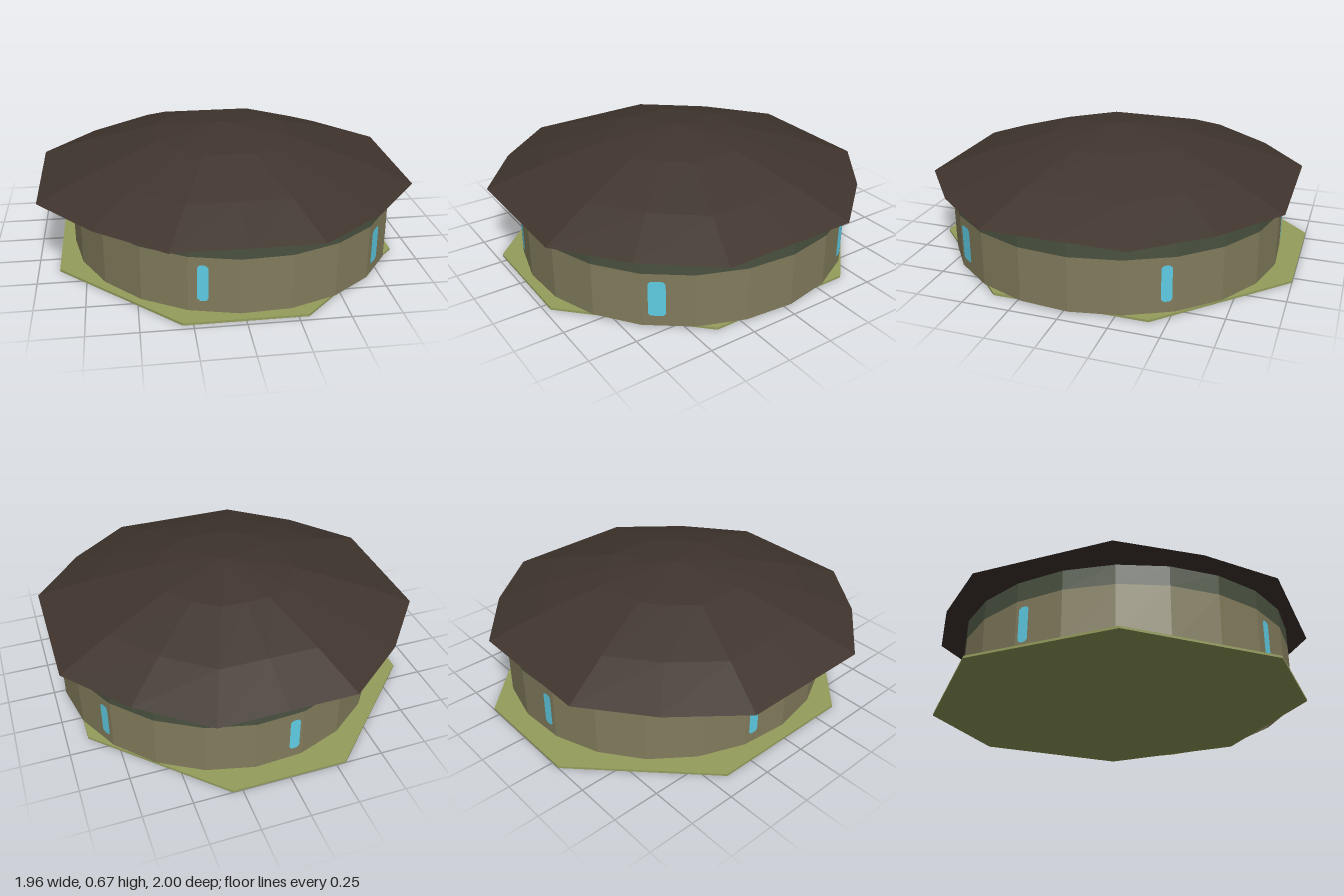
import * as THREE from 'three';

const SIDES = 22;
const STEP = (Math.PI * 2) / SIDES;
const START = -0.0925; // angle of the first wall corner
const RX = 0.88, RZ = 0.91, CX = 0.06, CZ = 0.015;

function material(name, color, side = THREE.FrontSide) {
  const m = new THREE.MeshStandardMaterial({ color, side });
  m.name = name;
  return m;
}

// Faceted normals for low-poly parts
function faceted(geometry) {
  const g = geometry.index ? geometry.toNonIndexed() : geometry;
  g.computeVertexNormals();
  return g;
}

export function createModel() {
  const group = new THREE.Group();
  const roofMat = material('darkBrownRoof', 0x40352e, THREE.DoubleSide);
  const wallMat = material('tanWall', 0x827c5c, THREE.DoubleSide);
  const bandMat = material('greyGreenBand', 0x4a5240, THREE.DoubleSide);
  const baseMat = material('oliveBase', 0x959d5c);
  const windowMat = material('skyBlueWindow', 0x5fcde4, THREE.DoubleSide);

  function add(name, geometry, mat, x = 0, y = 0, z = 0) {
    const mesh = new THREE.Mesh(geometry, mat);
    mesh.name = name;
    mesh.position.set(x, y, z);
    group.add(mesh);
    return mesh;
  }

  // Eight-sided ground plate
  const corners = [[0.3, 0.985], [-0.3, 0.985], [-0.89, 0.4], [-0.89, -0.4],
    [-0.3, -0.985], [0.3, -0.985], [0.89, -0.4], [0.89, 0.4]];
  const plate = new THREE.Shape(corners.map(([x, z]) => new THREE.Vector2(x, -z)));
  const plateGeo = new THREE.ExtrudeGeometry(plate, { depth: 0.012, bevelEnabled: false });
  plateGeo.rotateX(-Math.PI / 2);
  add('groundPlate', plateGeo, baseMat, 0, 0, -0.015);

  // Round wall in two stacked bands
  function wallRing(name, y0, y1, mat) {
    const g = new THREE.CylinderGeometry(1, 1, y1 - y0, SIDES, 1, true, START);
    g.scale(RX, 1, RZ);
    add(name, faceted(g), mat, CX, (y0 + y1) / 2, CZ);
  }
  wallRing('lowerWall', 0.012, 0.3, wallMat);
  wallRing('upperWallBand', 0.3, 0.405, bandMat);

  // Narrow windows with clipped corners, each lying on a wall facet
  function wallCorner(i) {
    const a = START + i * STEP;
    return new THREE.Vector2(CX + RX * Math.sin(a), CZ + RZ * Math.cos(a));
  }
  function addWindow(degrees, width) {
    const f = (THREE.MathUtils.degToRad(degrees) - START) / STEP;
    const i = Math.floor(f);
    const a = wallCorner(i), b = wallCorner(i + 1);
    const p = a.clone().lerp(b, THREE.MathUtils.clamp(f - i, 0.18, 0.82));
    const d = b.clone().sub(a).normalize();
    const nx = -d.y, nz = d.x; // outward facet normal
    const w = width / 2, h = 0.095, c = 0.013;
    const pane = new THREE.Shape([[-w + c, -h], [w - c, -h], [w, -h + c], [w, h - c],
      [w - c, h], [-w + c, h], [-w, h - c], [-w, -h + c]].map(([x, y]) => new THREE.Vector2(x, y)));
    const mesh = add('window', new THREE.ShapeGeometry(pane), windowMat,
      p.x + nx * 0.005, 0.166, p.y + nz * 0.005);
    mesh.rotation.y = Math.atan2(nx, nz);
  }
  addWindow(-17, 0.054);
  addWindow(48.6, 0.085);
  addWindow(123, 0.054);
  addWindow(191, 0.054);
  addWindow(259, 0.054);

  // Shallow domed roof: the eave outline is scaled inwards ring by ring
  const quarter = [[0.98, 0], [0.98, 0.365], [0.7, 0.705], [0.36, 0.97]];
  const eave = [
    ...quarter,
    [0, 0.97],
    ...quarter.slice(1).reverse().map(([x, z]) => [-x, z]),
  ];
  const outline = [...eave, ...eave.map(([x, z]) => [-x, -z])];
  outline[8] = [-0.98, 0];
  const rings = [[1, 0.395], [0.72, 0.502], [0.37, 0.61], [0, 0.665]];
  const positions = [];
  const n = outline.length;
  const point = (k, i) => {
    const [s, y] = rings[k];
    const [x, z] = outline[i % n];
    return [x * s, y, z * s];
  };
  for (let k = 0; k < rings.length - 1; k++) {
    for (let i = 0; i < n; i++) {
      const a = point(k, i), b = point(k, i + 1), c = point(k + 1, i + 1), d = point(k + 1, i);
      positions.push(...a, ...d, ...b);
      if (k < rings.length - 2) positions.push(...b, ...d, ...c);
    }
  }
  const roof = new THREE.BufferGeometry();
  roof.setAttribute('position', new THREE.Float32BufferAttribute(positions, 3));
  add('roof', faceted(roof), roofMat, 0, 0, 0.025);

  return group;
}
